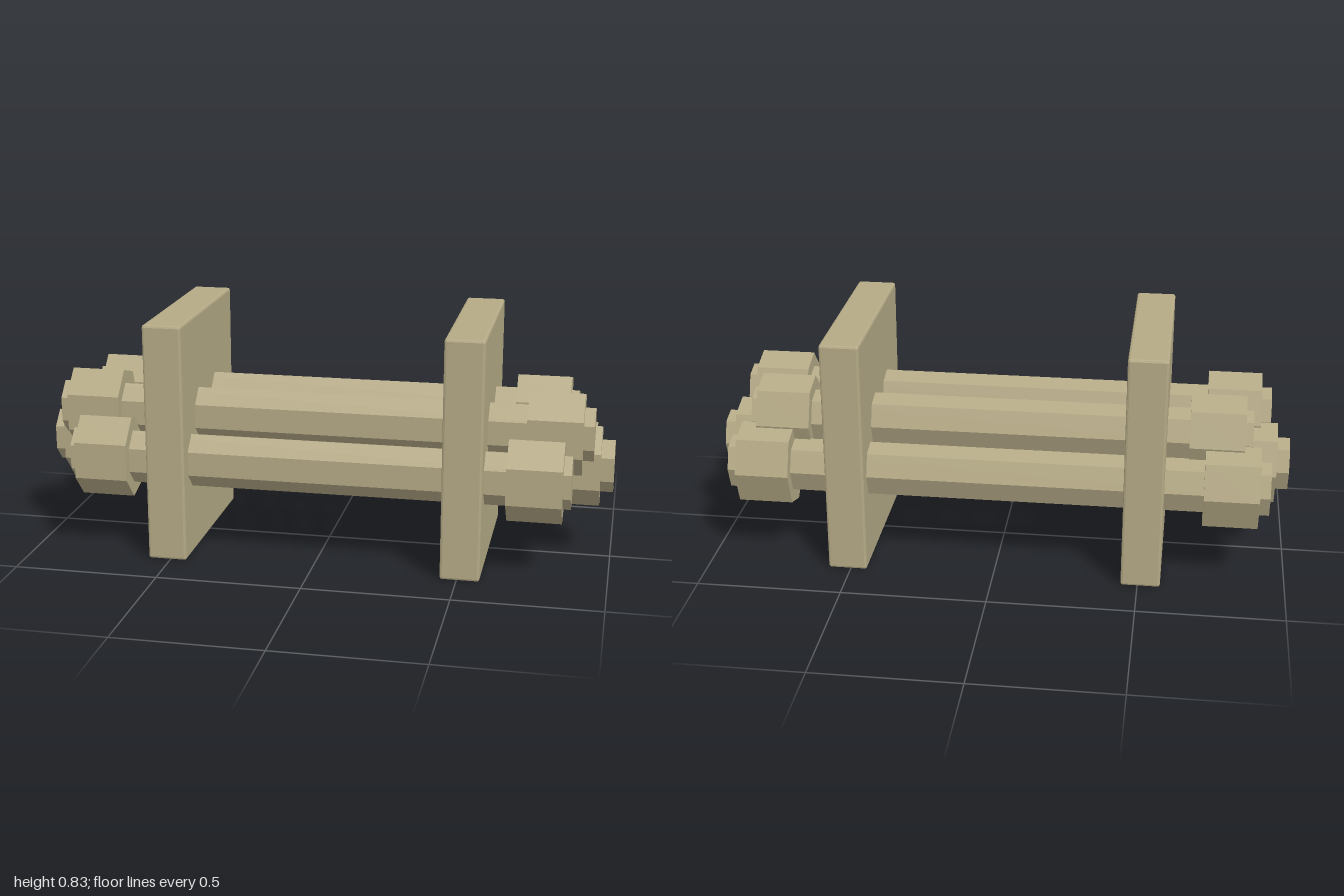
import * as THREE from 'three';
import { RoundedBoxGeometry } from 'three/addons/geometries/RoundedBoxGeometry.js';

const stone = new THREE.MeshStandardMaterial({ color: 0xb5aa86 });
stone.name = 'stone beige';

// Give every face its own normal for a faceted look
function faceted(geometry) {
  const g = geometry.index ? geometry.toNonIndexed() : geometry;
  g.computeVertexNormals();
  return g;
}

function addMesh(parent, geometry, name, x, y, z) {
  const mesh = new THREE.Mesh(faceted(geometry), stone);
  mesh.name = name;
  mesh.position.set(x, y, z);
  parent.add(mesh);
}

// Seven-sided prism along x, taller than deep, with a corner pointing to -z
function prism(length, ry, rz) {
  const g = new THREE.CylinderGeometry(1, 1, length, 7, 1, false, Math.PI);
  g.rotateZ(-Math.PI / 2);
  g.scale(1, ry, rz);
  return g;
}

export function createModel() {
  const model = new THREE.Group();
  model.name = 'barBundle';

  // Two upright side plates with chamfered edges
  for (const side of [-1, 1]) {
    addMesh(model, new RoundedBoxGeometry(0.135, 0.832, 0.664, 1, 0.008),
      side > 0 ? 'leftPlate' : 'rightPlate', side * 0.51, 0.416, 0);
  }

  // Bars: height, depth, half length, outer end of the collar
  const bars = [
    [0.336, 0.213, 0.867, 0.84],
    [0.336, 0, 1, 0.955],
    [0.336, -0.212, 0.932, 0.896],
    [0.477, 0.108, 0.932, 0.896],
    [0.477, -0.105, 0.867, 0.84],
  ];
  const collarLength = 0.186;
  bars.forEach(([y, z, half, collarEnd], i) => {
    const bar = new THREE.Group();
    bar.name = 'bar' + (i + 1);
    bar.position.set(0, y, z);
    model.add(bar);
    addMesh(bar, prism(half * 2, 0.096, 0.0735), 'shaft', 0, 0, 0);
    for (const side of [-1, 1]) {
      addMesh(bar, prism(collarLength, 0.147, 0.113),
        side > 0 ? 'leftCollar' : 'rightCollar', side * (collarEnd - collarLength / 2), 0, 0);
    }
  });
  return model;
}
